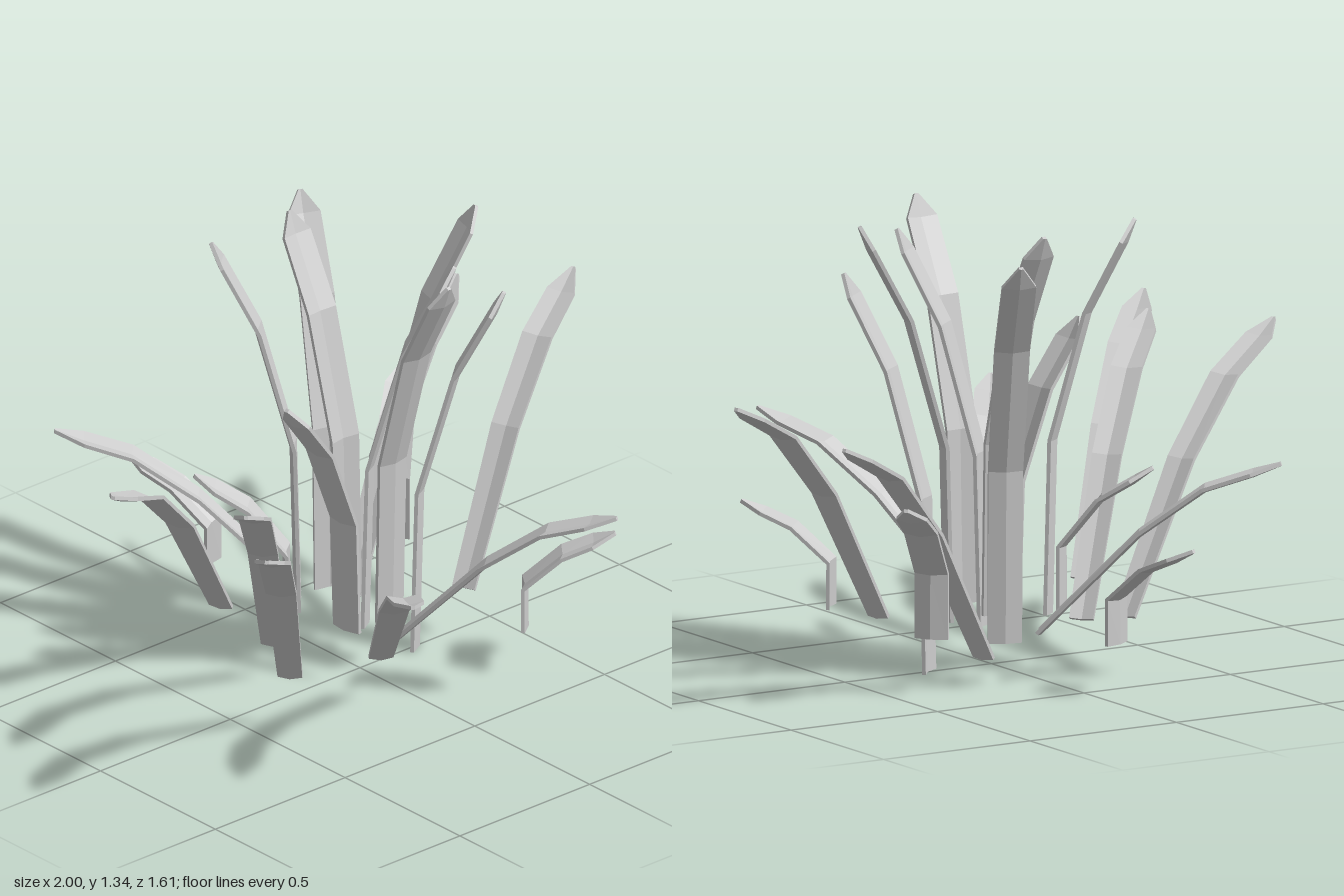
import * as THREE from 'three';

const V2 = (x, y) => new THREE.Vector2(x, y);

// Side profiles as fractions of [reach, height]
const PROFILES = {
  tallLeaf: [[0, 0], [0.05, 0.44], [0.45, 0.765], [1, 1]],
  archingLeaf: [[0, 0], [0.38, 0.56], [0.67, 0.84], [1, 1]],
  lowLeaf: [[0, 0], [0.41, 0.58], [0.68, 0.85], [1, 1]],
  shortLeaf: [[0, 0], [0, 0.45], [0.42, 0.78], [1, 1]],
};
// Half widths at the base, knees and shoulder
const WIDTHS = {
  tallLeaf: [0.05, 0.051, 0.052, 0.05],
  archingLeaf: [0.036, 0.044, 0.047, 0.044],
  lowLeaf: [0.036, 0.044, 0.047, 0.044],
  shortLeaf: [0.05, 0.05, 0.05, 0.046],
};
// Length of the pointed end
const POINTS = { tallLeaf: 0.07, archingLeaf: 0.09, lowLeaf: 0.09, shortLeaf: 0.07 };

// Folded leaf strip with a pointed end; runs along +z and rises along +y
function leafGeometry(type, reach, height) {
  const path = PROFILES[type].map(([r, h]) => V2(r * reach, h * height));
  const tip = path[path.length - 1];
  const back = path[path.length - 2].clone().sub(tip).setLength(POINTS[type]);
  path.splice(path.length - 1, 0, tip.clone().add(back));
  const widths = [...WIDTHS[type], 0.006];
  const thick = 0.011;

  const rings = path.map((p, i) => {
    const tangent = V2(0, 0);
    if (i > 0) tangent.add(p.clone().sub(path[i - 1]).normalize());
    if (i < path.length - 1) tangent.add(path[i + 1].clone().sub(p).normalize());
    tangent.normalize();
    const n = V2(-tangent.y, tangent.x);
    const w = widths[i];
    const fold = w * 0.2;
    const at = (x, d) => [x, p.y + n.y * d, p.x + n.x * d];
    return [at(-w, 0), at(0, -fold), at(w, 0),
      at(w, -thick), at(0, -fold - thick), at(-w, -thick)];
  });

  const pos = [];
  const quad = (a, b, c, d) => pos.push(...a, ...b, ...c, ...a, ...c, ...d);
  for (let i = 0; i < rings.length - 1; i++) {
    const A = rings[i], B = rings[i + 1];
    for (let k = 0; k < 6; k++) {
      const m = (k + 1) % 6;
      quad(A[k], B[k], B[m], A[m]);
    }
  }
  // End caps
  const s = rings[0], e = rings[rings.length - 1];
  quad(s[0], s[1], s[4], s[5]);
  quad(s[1], s[2], s[3], s[4]);
  quad(e[5], e[4], e[1], e[0]);
  quad(e[4], e[3], e[2], e[1]);

  const g = new THREE.BufferGeometry();
  g.setAttribute('position', new THREE.Float32BufferAttribute(pos, 3));
  g.computeVertexNormals();
  return g;
}

// Each leaf: base x, base z, tip x, tip z, base y, tip y
const LEAVES = {
  tallLeaf: [
    [0.05, -0.105, 0.05, -0.36, 0.17, 1.325],
    [0.12, -0.26, 0.222, -0.51, 0.12, 1.28],
    [-0.085, -0.16, -0.275, -0.33, 0.17, 1.34],
    [-0.08, 0.04, -0.34, 0.07, 0.17, 0.975],
    [0.205, -0.105, 0.45, -0.01, 0.17, 1.34],
    [0.045, -0.04, 0.22, 0.155, 0.12, 1.28],
    [0.212, -0.01, 0.38, 0.19, 0, 1.16],
    [0.05, 0.065, 0.05, 0.325, 0.17, 1.335],
  ],
  archingLeaf: [
    [-0.25, -0.32, -0.995, 0.05, 0.17, 0.905],
    [-0.24, -0.105, -0.78, 0.385, 0.125, 0.895],
    [-0.415, 0.165, -0.925, 0.64, 0.18, 0.895],
    [0.34, 0.065, 0.99, -0.19, 0.17, 0.895],
    [0.18, -0.25, 0.82, -0.505, 0.085, 0.81],
  ],
  lowLeaf: [
    [0.025, -0.285, -0.52, -0.74, 0.15, 0.665],
    [-0.11, 0.215, -0.50, 0.795, 0.16, 0.665],
    [-0.025, 0.155, 0.32, 0.755, 0.155, 0.665],
  ],
  shortLeaf: [
    [-0.07, -0.555, -0.18, -0.805, 0.147, 0.455],
    [0.335, 0.325, 0.53, 0.51, 0.147, 0.455],
    [0.395, -0.305, 0.60, -0.49, 0.17, 0.605],
    [-0.135, -0.155, -0.33, -0.345, 0.17, 0.605],
  ],
};

export function createModel() {
  const group = new THREE.Group();
  group.name = 'leafyPlant';
  const material = new THREE.MeshStandardMaterial({ color: 0xcccccc, flatShading: true });
  for (const [type, list] of Object.entries(LEAVES)) {
    list.forEach(([bx, bz, tx, tz, y0, y1], i) => {
      const reach = Math.hypot(tx - bx, tz - bz);
      const leaf = new THREE.Mesh(leafGeometry(type, reach, y1 - y0), material);
      leaf.name = `${type}${i + 1}`;
      leaf.position.set(bx, y0, bz);
      leaf.rotation.y = Math.atan2(tx - bx, tz - bz);
      group.add(leaf);
    });
  }
  return group;
}
